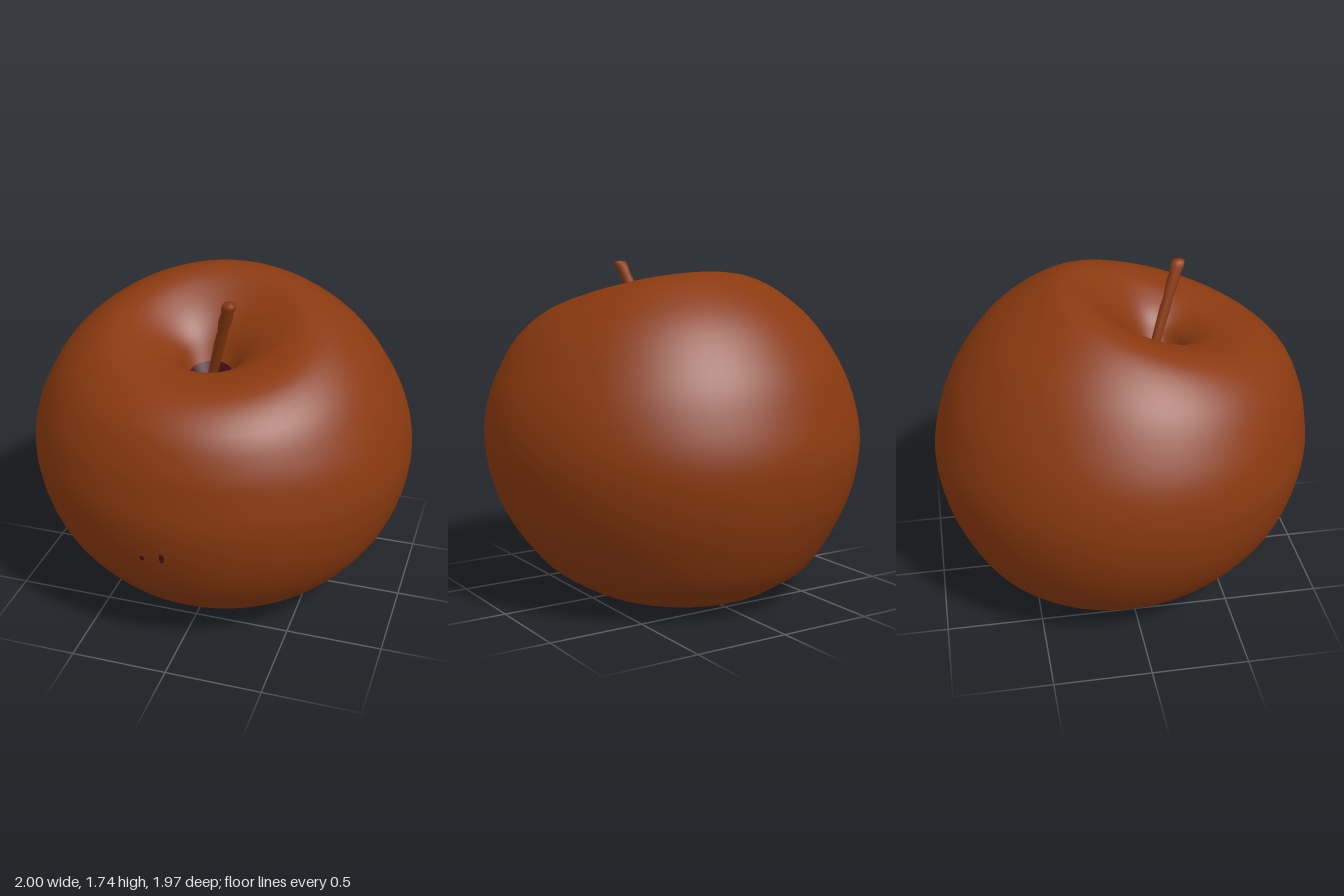
import * as THREE from 'three';
import { mergeVertices } from 'three/addons/utils/BufferGeometryUtils.js';

const skin = new THREE.MeshStandardMaterial({ color: 0x8a390f });
skin.name = 'russet skin';
const dark = new THREE.MeshStandardMaterial({ color: 0x480d18 });
dark.name = 'dark maroon';
const leaf = new THREE.MeshStandardMaterial({ color: 0x8a390f, side: THREE.DoubleSide });
leaf.name = 'dry russet';

// Rings from the calyx up and over into the stem hollow:
// half width in x, half width in z, centre z, height, drop towards the front
const RINGS = [
  [0, 0, 0.03, 0.13, 0], [0.07, 0.07, 0.03, 0.115, 0], [0.19, 0.19, 0.0, 0.05, 0],
  [0.32, 0.32, -0.05, 0.008, 0], [0.45, 0.47, -0.06, 0.035, 0], [0.58, 0.59, -0.06, 0.1, 0],
  [0.72, 0.73, -0.05, 0.2, 0], [0.87, 0.87, -0.02, 0.4, 0], [0.96, 0.95, -0.01, 0.6, 0],
  [1.0, 0.985, 0, 0.82, 0], [0.98, 0.955, 0.015, 1.02, 0.02], [0.91, 0.895, 0.045, 1.2, 0.06],
  [0.78, 0.765, 0.095, 1.4, 0.1], [0.6, 0.57, 0.14, 1.54, 0.13], [0.42, 0.385, 0.12, 1.57, 0.135],
  [0.27, 0.25, 0.15, 1.5, 0.1], [0.17, 0.16, 0.18, 1.41, 0.06], [0.11, 0.105, 0.2, 1.3, 0.02],
  [0.05, 0.05, 0.19, 1.22, 0], [0, 0, 0.18, 1.2, 0],
];
const LAST = RINGS.length - 1;
const spline = (a, b, c) => new THREE.CatmullRomCurve3(
  RINGS.map((r) => new THREE.Vector3(r[a], r[b], r[c])), false, 'catmullrom');
const widths = spline(0, 1, 2);
const heights = spline(3, 4, 4);

// Point on the fruit surface at a ring number and an angle (0 = front)
function surface(ring, angle) {
  const t = THREE.MathUtils.clamp(ring / LAST, 0, 1);
  const w = widths.getPoint(t), h = heights.getPoint(t);
  return new THREE.Vector3(
    Math.max(w.x, 0) * Math.sin(angle) - 0.02 * Math.abs(2 * t - 1) ** 4,
    Math.max(h.x - h.y * Math.cos(angle), 0),
    w.z + Math.max(w.y, 0) * Math.cos(angle));
}

// Part of the fruit between two rings, warped from a plain tube
function fruitSection(from, to) {
  const n = Math.round((to - from) * 4);
  const line = Array.from({ length: n + 1 }, (_, i) => new THREE.Vector2(1, from + ((to - from) * i) / n));
  const tube = new THREE.LatheGeometry(line, 72);
  const p = tube.attributes.position;
  for (let i = 0; i < p.count; i++) {
    const s = surface(p.getY(i), Math.atan2(p.getX(i), p.getZ(i)));
    p.setXYZ(i, s.x, s.y, s.z);
  }
  tube.deleteAttribute('uv');
  tube.deleteAttribute('normal');
  const g = mergeVertices(tube, 1e-5);
  g.computeVertexNormals();
  return g;
}

export function createModel() {
  const model = new THREE.Group();
  const add = (name, geometry, material) => {
    const m = new THREE.Mesh(geometry, material);
    m.name = name;
    model.add(m);
    return m;
  };

  // Fruit body with dark pits at both ends
  add('fruit', fruitSection(1, 17), skin);
  add('stemPit', fruitSection(17, LAST), dark);
  add('calyxPit', fruitSection(0, 1), dark);

  // Leaning stem, knobbly, with a thicker cut end
  const profile = [[0, 1.14], [0.024, 1.14], [0.025, 1.3], [0.027, 1.42], [0.03, 1.5], [0.027, 1.57],
    [0.034, 1.64], [0.031, 1.69], [0.036, 1.72], [0.032, 1.745], [0, 1.75]];
  const stem = new THREE.LatheGeometry(profile.map(([r, y]) => new THREE.Vector2(r, y)), 10);
  const sp = stem.attributes.position;
  for (let i = 0; i < sp.count; i++) {
    const k = (sp.getY(i) - 1.14) / 0.61;
    sp.setX(i, sp.getX(i) - 0.05 + 0.18 * k);
    sp.setZ(i, sp.getZ(i) + 0.12 + 0.21 * k);
  }
  stem.computeVertexNormals();
  add('stem', stem, skin);

  // Withered sepals around the calyx
  for (let i = 0; i < 5; i++) {
    const sepal = new THREE.PlaneGeometry(1, 1, 2, 4);
    const q = sepal.attributes.position;
    const a = (i * Math.PI * 2) / 5 + 0.3;
    for (let j = 0; j < q.count; j++) {
      const u = q.getY(j) + 0.5;
      const side = q.getX(j) * 0.09 * (1 - u * 0.9);
      const r = 0.05 + 0.11 * u;
      q.setXYZ(j, -0.02 + r * Math.sin(a) + side * Math.cos(a),
        0.095 - 0.05 * u + 0.015 * Math.sin(u * 6 + i) - Math.abs(side) * 0.4,
        0.02 + r * Math.cos(a) - side * Math.sin(a));
    }
    sepal.computeVertexNormals();
    add('sepal', sepal, leaf);
  }

  // Small dark specks on the front
  for (const [x, y, w, h] of [[-0.12, 0.645, 0.012, 0.016], [-0.015, 0.67, 0.013, 0.03]]) {
    const ring = 8 + (y - 0.6) / 0.22;
    const s = surface(ring, Math.asin(x / 0.97));
    const speck = add('speck', new THREE.CircleGeometry(1, 8), dark);
    speck.position.set(s.x, s.y, s.z + 0.004);
    speck.rotation.set(0.15, x, 0);
    speck.scale.set(w, h, 1);
  }
  return model;
}
